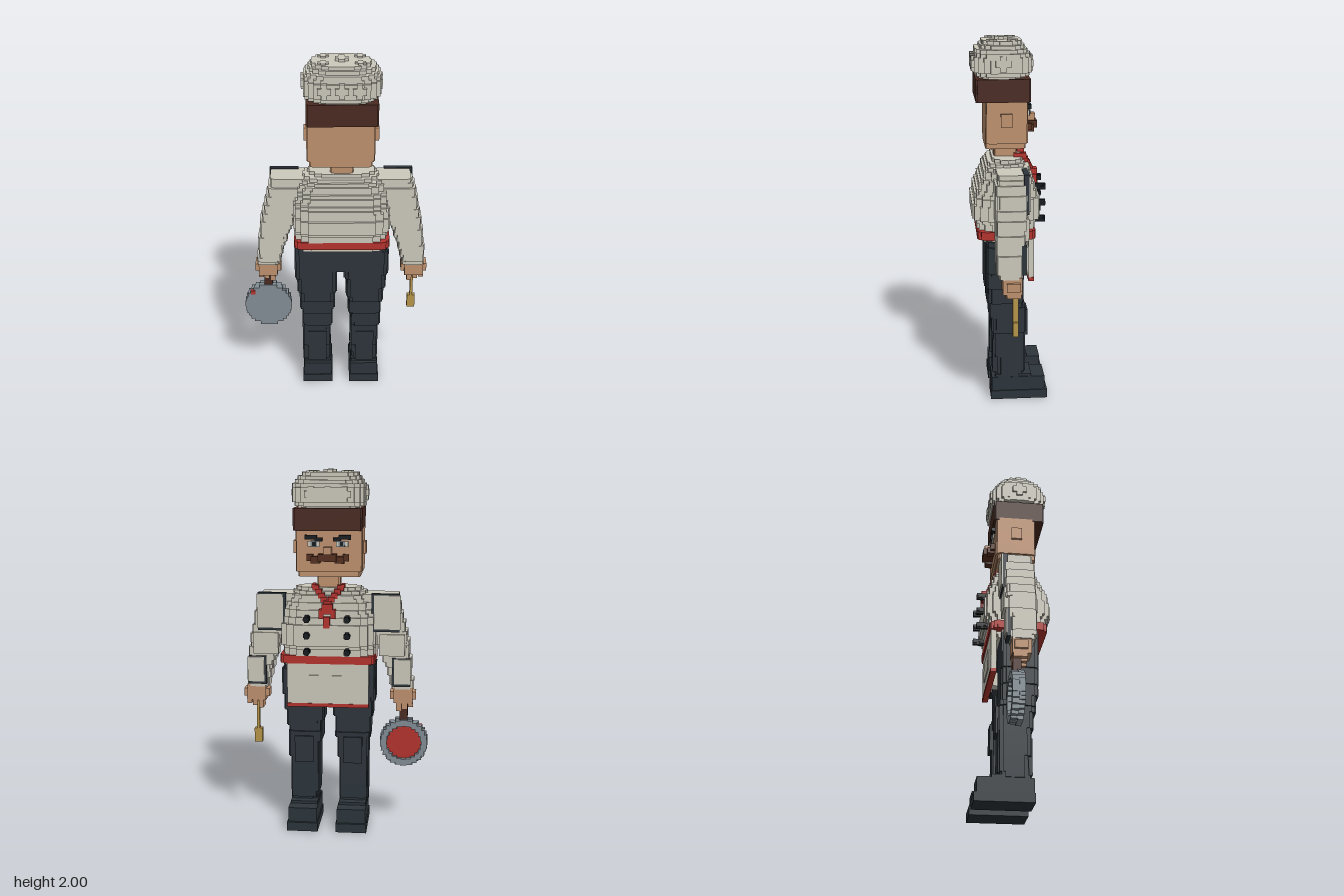
import * as THREE from 'three';
import { mergeGeometries } from 'three/addons/utils/BufferGeometryUtils.js';

const mat = (name, color) => {
  const m = new THREE.MeshStandardMaterial({ color });
  m.name = name;
  return m;
};

const CX = 0.035; // symmetry plane of the figure
const U = 0.0125; // grid that stepped shapes snap to
const snap = (v) => Math.round(v / U) * U;

// box from its min and max corners
function block(x0, x1, y0, y1, z0, z1) {
  return new THREE.BoxGeometry(x1 - x0, y1 - y0, z1 - z0)
    .translate((x0 + x1) / 2, (y0 + y1) / 2, (z0 + z1) / 2);
}

// stepped solid: rows of [y, centreX, halfX, zMin, zMax] from bottom to top, corners cut in steps
function stack(rows, corner, layer = 0.02, steps = 4) {
  const parts = [];
  const y0 = rows[0][0], y1 = rows[rows.length - 1][0];
  const n = Math.round((y1 - y0) / layer), h = (y1 - y0) / n;
  for (let i = 0; i < n; i++) {
    const y = y0 + (i + 0.5) * h;
    let k = 0;
    while (k < rows.length - 2 && rows[k + 1][0] < y) k++;
    const a = rows[k], b = rows[k + 1], t = (y - a[0]) / (b[0] - a[0]);
    const [cx, hx, z0, z1] = [1, 2, 3, 4].map((j) => a[j] + (b[j] - a[j]) * t);
    const xa = snap(cx - hx), xb = snap(cx + hx), za = snap(z0), zb = snap(z1);
    for (let s = 0; s < steps; s++) {
      const f = steps > 1 ? (s / (steps - 1)) * Math.PI / 2 : 0;
      const dx = steps > 1 ? corner * (1 - Math.cos(f)) : 0;
      const dz = steps > 1 ? corner * (1 - Math.sin(f)) : 0;
      parts.push(block(xa + dx, xb - dx, y0 + i * h, y0 + (i + 1) * h, za + dz, zb - dz));
    }
  }
  return mergeGeometries(parts);
}

// stepped disc facing z
function disc(x, y, r, z0, z1, n = 14) {
  const parts = [], h = (2 * r) / n;
  for (let i = 0; i < n; i++) {
    const v = -r + (i + 0.5) * h, w = Math.sqrt(r * r - v * v);
    parts.push(block(x - w, x + w, y + v - h / 2, y + v + h / 2, z0, z1));
  }
  return mergeGeometries(parts);
}

export function createModel() {
  const root = new THREE.Group();
  root.name = 'cook';
  const pale = mat('off white cloth', 0xcdcabd), skin = mat('skin', 0xc0926f);
  const red = mat('red', 0xb5332e), navy = mat('dark navy', 0x2d353b);
  const brown = mat('hat band brown', 0x4a2a21), hair = mat('moustache brown', 0x57301f);
  const steel = mat('steel', 0x828e95), gold = mat('brass', 0xb8964a), black = mat('black', 0x171b1f);

  const add = (name, material, ...geos) => {
    const m = new THREE.Mesh(geos.length > 1 ? mergeGeometries(geos) : geos[0], material);
    m.name = name;
    root.add(m);
    return m;
  };
  // box on one side, x measured outward from the symmetry plane
  const sideBlock = (s, a, b, ...yz) =>
    block(CX + Math.min(s * a, s * b), CX + Math.max(s * a, s * b), ...yz);

  // jacket
  add('jacket', pale, stack([
    [0.91, CX, 0.25, -0.1, 0.13], [0.99, CX, 0.255, -0.13, 0.165], [1.07, CX, 0.26, -0.165, 0.205],
    [1.15, CX, 0.26, -0.16, 0.19], [1.22, CX, 0.255, -0.14, 0.165], [1.3, CX, 0.235, -0.115, 0.13],
    [1.36, CX, 0.18, -0.07, 0.085]], 0.08));
  add('belt', red, stack([[0.945, CX, 0.262, -0.14, 0.17], [0.99, CX, 0.262, -0.14, 0.17]], 0.04, 0.0225));

  // apron
  add('apron', pale, block(CX - 0.225, CX + 0.225, 0.72, 0.945, -0.13, -0.1),
    block(CX - 0.11, CX + 0.11, 0.77, 0.88, -0.135, -0.13));
  add('apronTrim', red, block(CX - 0.227, CX + 0.227, 0.7, 0.72, -0.132, -0.1));
  add('apronBackLining', pale, block(CX - 0.03, CX + 0.03, 0.7, 0.78, -0.1, -0.06));

  // jacket buttons
  for (const s of [-1, 1]) for (const y of [1.02, 1.11, 1.2])
    add('button', black, disc(CX + s * 0.11, y, 0.017, -0.2, -0.13, 5));

  // neckerchief
  const scarf = [];
  for (const s of [-1, 1]) {
    for (let i = 0; i < 6; i++)
      scarf.push(sideBlock(s, 0.085 - i * 0.016, 0.05 - i * 0.016, 1.345 - i * 0.02, 1.375 - i * 0.02,
        -0.1 - i * 0.01, -0.06 - i * 0.01));
    scarf.push(sideBlock(s, 0.09, 0.07, 1.36, 1.38, -0.095, -0.03));
    scarf.push(sideBlock(s, 0.045, 0.02, 1.2, 1.25, -0.16, -0.12));
  }
  scarf.push(block(CX - 0.03, CX + 0.03, 1.225, 1.28, -0.165, -0.1));
  scarf.push(block(CX - 0.015, CX + 0.02, 1.15, 1.21, -0.168, -0.13));
  add('neckerchief', red, ...scarf);

  // neck and head
  add('neck', skin, stack([[1.34, CX, 0.066, -0.05, 0.08], [1.43, CX, 0.066, -0.05, 0.08]], 0.02, 0.03, 3));
  add('head', skin, stack([[1.42, CX, 0.16, -0.08, 0.115], [1.45, CX, 0.18, -0.1, 0.125],
    [1.68, CX, 0.18, -0.1, 0.125]], 0.018, 0.03, 3));
  add('nose', skin, block(CX - 0.022, CX + 0.022, 1.545, 1.585, -0.15, -0.09));
  for (const s of [-1, 1]) {
    add('ear', skin, sideBlock(s, 0.17, 0.2, 1.54, 1.61, -0.015, 0.045));
    add('eyeWhite', pale, sideBlock(s, 0.045, 0.11, 1.585, 1.615, -0.112, -0.104));
    add('iris', steel, sideBlock(s, 0.058, 0.092, 1.585, 1.617, -0.116, -0.109));
    add('pupil', black, sideBlock(s, 0.067, 0.083, 1.59, 1.612, -0.12, -0.113));
    add('brow', black, sideBlock(s, 0.03, 0.07, 1.615, 1.635, -0.122, -0.1),
      sideBlock(s, 0.06, 0.125, 1.625, 1.648, -0.122, -0.1));
    add('moustache', hair, sideBlock(s, 0, 0.05, 1.51, 1.548, -0.16, -0.1),
      sideBlock(s, 0.04, 0.09, 1.498, 1.535, -0.14, -0.1),
      sideBlock(s, 0.08, 0.115, 1.51, 1.545, -0.125, -0.1));
  }

  // hat
  add('hatBand', brown, stack([[1.67, CX, 0.19, -0.108, 0.172], [1.79, CX, 0.19, -0.108, 0.172]], 0.008, 0.12, 2));
  add('hatCrown', pale, stack([[1.78, CX, 0.17, -0.085, 0.15], [1.82, CX, 0.2, -0.12, 0.185],
    [1.9, CX, 0.2, -0.12, 0.185], [1.94, CX, 0.185, -0.1, 0.165], [1.98, CX, 0.145, -0.06, 0.125]], 0.09, 0.02, 5));
  // puffy plus-shaped tufts on the crown
  const tufts = [], plus = (x, y, z, ...r) => {
    for (let k = 0; k < 3; k++) {
      if (r[k] < 0.015) continue;
      const e = r.map((v, j) => (j === k || v < 0.015 ? v : v * 0.45));
      tufts.push(block(x - e[0], x + e[0], y - e[1], y + e[1], z - e[2], z + e[2]));
    }
  };
  plus(CX, 1.985, 0.032, 0.035, 0.01, 0.035);
  for (const s of [-1, 1]) {
    for (const t of [-1, 1]) plus(CX + s * 0.095, 1.98, 0.032 + t * 0.055, 0.028, 0.008, 0.028);
    plus(CX + s * 0.2, 1.87, 0.032, 0.01, 0.04, 0.04);
    for (const x of [-0.09, 0, 0.09]) plus(CX + x, 1.865, 0.0325 + s * 0.153, 0.035, 0.04, 0.01);
  }
  add('hatTufts', pale, ...tufts);

  for (const s of [-1, 1]) {
    // sleeves with framed front patches
    add('sleeve', pale, stack([[0.79, CX + s * 0.41, 0.062, -0.045, 0.08], [0.9, CX + s * 0.39, 0.07, -0.055, 0.085],
      [1.0, CX + s * 0.37, 0.082, -0.065, 0.09], [1.12, CX + s * 0.335, 0.095, -0.075, 0.09],
      [1.25, CX + s * 0.3, 0.1, -0.075, 0.085], [1.325, CX + s * 0.28, 0.1, -0.07, 0.07]], 0.02, 0.025, 3));
    add('patchFrame', navy, sideBlock(s, 0.235, 0.39, 1.12, 1.33, -0.088, -0.06),
      sideBlock(s, 0.35, 0.45, 0.81, 0.97, -0.07, -0.04));
    add('patch', pale, sideBlock(s, 0.25, 0.395, 1.135, 1.322, -0.095, -0.087),
      sideBlock(s, 0.362, 0.455, 0.825, 0.965, -0.077, -0.069),
      sideBlock(s, 0.28, 0.42, 0.985, 1.105, -0.084, -0.06));

    // hands
    const fingers = [0, 1, 2].map((i) =>
      sideBlock(s, 0.375 + i * 0.033, 0.402 + i * 0.033, 0.665 + i * 0.012, 0.73, -0.04, 0.035));
    add('hand', skin, sideBlock(s, 0.36, 0.465, 0.71, 0.8, -0.045, 0.055),
      sideBlock(s, 0.34, 0.485, 0.73, 0.775, -0.035, 0.035), ...fingers);

    // trousers and boots
    add('trouserLeg', navy, stack([[0.1, CX + s * 0.138, 0.078, -0.08, 0.07], [0.36, CX + s * 0.138, 0.082, -0.085, 0.09],
      [0.45, CX + s * 0.137, 0.087, -0.085, 0.1], [0.58, CX + s * 0.135, 0.1, -0.08, 0.12],
      [0.77, CX + s * 0.139, 0.122, -0.075, 0.13], [0.93, CX + s * 0.13, 0.128, -0.075, 0.13]], 0.025, 0.03, 3));
    add('kneePatch', navy, sideBlock(s, 0.085, 0.19, 0.37, 0.52, -0.1, -0.07),
      sideBlock(s, 0.085, 0.19, 0.15, 0.35, 0.06, 0.094));
    add('boot', navy, sideBlock(s, 0.05, 0.222, 0, 0.05, -0.21, 0.105),
      sideBlock(s, 0.056, 0.216, 0.05, 0.13, -0.195, 0.1),
      sideBlock(s, 0.06, 0.212, 0.13, 0.145, -0.12, 0.08));
  }
  add('trouserSeat', navy, block(CX - 0.1, CX + 0.1, 0.77, 0.93, -0.07, 0.118));

  // frying pan: stepped rim blocks around a red centre
  const px = -0.385, py = 0.483;
  add('panBase', steel, disc(px, py, 0.135, -0.02, 0.01));
  const rim = [];
  for (let i = 0; i < 24; i++) {
    const a = (i / 24) * Math.PI * 2, x = px + Math.cos(a) * 0.114, y = py + Math.sin(a) * 0.114;
    rim.push(block(x - 0.0175, x + 0.0175, y - 0.0175, y + 0.0175, -0.055, -0.01));
  }
  add('panRim', steel, ...rim);
  add('panFilling', red, disc(px, py, 0.1, -0.032, -0.015));
  add('panSpot', red, block(-0.485, -0.46, 0.555, 0.58, -0.005, 0.013));
  add('panHandle', brown, block(-0.405, -0.36, 0.6, 0.73, -0.04, 0.005));

  // spatula
  add('spatula', gold, block(0.435, 0.45, 0.53, 0.72, -0.03, 0),
    block(0.42, 0.465, 0.46, 0.54, -0.03, 0));

  return root;
}
